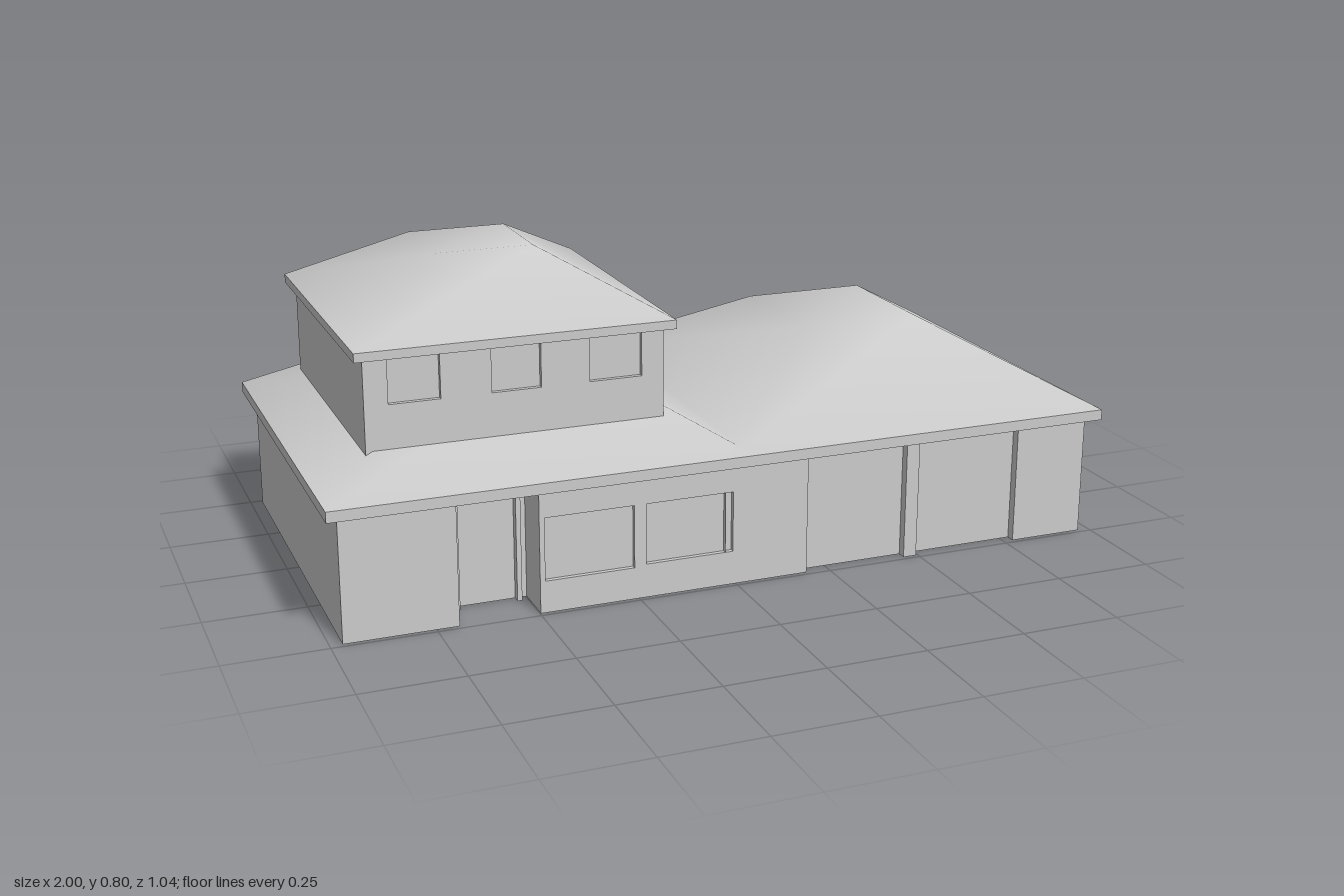
import * as THREE from 'three';

const mat = new THREE.MeshStandardMaterial({ color: 0xcccccc, side: THREE.DoubleSide });

function add(parent, geometry, name) {
  const mesh = new THREE.Mesh(geometry, mat);
  mesh.name = name;
  parent.add(mesh);
  return mesh;
}

// Box given by its limits
function block(parent, name, x0, x1, y0, y1, z0, z1) {
  const mesh = add(parent, new THREE.BoxGeometry(x1 - x0, y1 - y0, z1 - z0), name);
  mesh.position.set((x0 + x1) / 2, (y0 + y1) / 2, (z0 + z1) / 2);
}

// Smooth hipped roof: base rectangle rising to a smaller flat rectangle
function hipRoof(parent, name, base, top, y0, y1) {
  const corners = ([x0, x1, z0, z1], y) => [x0, y, z1, x1, y, z1, x1, y, z0, x0, y, z0];
  const geo = new THREE.BufferGeometry();
  geo.setAttribute('position', new THREE.Float32BufferAttribute([...corners(base, y0), ...corners(top, y1)], 3));
  const index = [4, 5, 6, 4, 6, 7];
  for (let i = 0; i < 4; i++) {
    const j = (i + 1) % 4;
    index.push(i, j, 4 + j, i, 4 + j, 4 + i);
  }
  geo.setIndex(index);
  geo.computeVertexNormals();
  add(parent, geo, name);
}

// Thin wall from plan point a to b, with recessed windows [x0, x1, y0, y1]
function wall(parent, name, a, b, y1, windows = []) {
  const group = new THREE.Group();
  group.name = name;
  group.position.set(a[0], 0, a[1]);
  group.rotation.y = Math.atan2(a[1] - b[1], b[0] - a[0]);
  parent.add(group);

  const rect = (path, u0, u1, v0, v1) =>
    path.moveTo(u0, v0).lineTo(u1, v0).lineTo(u1, v1).lineTo(u0, v1).closePath();
  const shape = rect(new THREE.Shape(), 0, Math.hypot(b[0] - a[0], b[1] - a[1]), 0, y1);
  const depth = 0.012;
  for (const [xa, xb, v0, v1] of windows) {
    const [u0, u1] = [Math.abs(xa - a[0]), Math.abs(xb - a[0])].sort((p, q) => p - q);
    shape.holes.push(rect(new THREE.Path(), u0, u1, v0, v1));
    // Window recess: a shallow box without its front face
    const box = new THREE.BoxGeometry(u1 - u0, v1 - v0, depth);
    const faces = Array.from(box.index.array);
    faces.splice(24, 6);
    box.setIndex(faces);
    box.clearGroups();
    add(group, box, 'window').position.set((u0 + u1) / 2, (v0 + v1) / 2, -depth / 2);
  }
  add(group, new THREE.ShapeGeometry(shape), 'wallPanel');
}

// Two jambs and a lintel
function doorFrame(parent, name, x0, x1, h, z0, z1, t) {
  const group = new THREE.Group();
  group.name = name;
  parent.add(group);
  block(group, 'jamb', x0, x0 + t, 0, h, z0, z1);
  block(group, 'jamb', x1 - t, x1, 0, h, z0, z1);
  block(group, 'lintel', x0 + t, x1 - t, h - t, h, z0, z1);
}

export function createModel() {
  const house = new THREE.Group();
  house.name = 'house';

  // Ground floor front: porch recess reaching the tower, and two garage bays
  const H = 0.315, F = 0.488, porch = 0.378, bay = 0.465;
  const frontPlan = [
    [-0.97, F], [-0.695, F], [-0.695, porch], [-0.498, porch], [-0.498, F],
    [0.19, F], [0.19, bay], [0.46, bay], [0.46, F],
    [0.495, F], [0.495, bay], [0.775, bay], [0.775, F], [0.97, F],
  ];
  const frontWindows = [[-0.485, -0.262, 0.08, 0.238], [-0.232, -0.008, 0.085, 0.238]];
  for (let i = 0; i < frontPlan.length - 1; i++) {
    // The tower itself closes the back of the porch
    if (i !== 2) wall(house, 'frontWall', frontPlan[i], frontPlan[i + 1], H, i === 4 ? frontWindows : []);
  }

  // Ground floor sides, back and partition
  wall(house, 'leftWall', [0.97, F], [0.97, -F], H);
  wall(house, 'backWall', [0.97, -F], [-0.97, -F], H, [[-0.623, -0.35, 0.11, 0.25]]);
  wall(house, 'rightWall', [-0.97, -F], [-0.97, F], H);
  wall(house, 'partition', [-0.028, F], [-0.028, -F], H);

  // Closed core of the left wing, behind the garage bays
  block(house, 'leftWingCore', -0.026, 0.968, 0, H, -0.486, 0.2);

  // Doors
  doorFrame(house, 'frontDoorFrame', -0.68, -0.515, 0.278, porch, porch + 0.02, 0.012);
  doorFrame(house, 'backDoorFrame', 0.3, 0.438, 0.21, -0.506, -F, 0.013);
  block(house, 'backDoor', 0.313, 0.425, 0, 0.197, -0.493, -F);

  // Lower eaves and the two hipped roofs meeting in a valley
  block(house, 'lowerEaves', -1, 1, 0.308, 0.335, -0.518, 0.518);
  for (const s of [-1, 1]) {
    const span = (a, b) => [a * s, b * s].sort((p, q) => p - q);
    hipRoof(house, 'lowerRoof', [...span(-0.036, 1), -0.518, 0.518],
      [...span(0.32, 0.64), -0.165, 0.165], 0.335, 0.532);
  }

  // Two-storey tower standing on the ground, closed below
  const [x0, x1, z0, z1] = [-0.873, -0.146, -0.355, porch];
  const plan = [[x0, z1], [x1, z1], [x1, z0], [x0, z0]];
  const row = (...spans) => spans.map(([a, b]) => [a, b, 0.52, 0.632]);
  const towerWindows = [
    row([-0.816, -0.693], [-0.571, -0.451], [-0.331, -0.201]), [],
    row([-0.58, -0.434], [-0.828, -0.675]), [],
  ];
  plan.forEach((p, i) => wall(house, 'towerWall', p, plan[(i + 1) % 4], 0.64, towerWindows[i]));
  block(house, 'towerFloor', x0, x1, 0, 0.004, z0, z1);

  // Upper eaves and roof
  block(house, 'upperEaves', -0.896, -0.12, 0.633, 0.655, -0.378, 0.4);
  hipRoof(house, 'upperRoof', [-0.896, -0.12, -0.378, 0.4], [-0.633, -0.388, -0.11, 0.135], 0.655, 0.802);

  return house;
}
